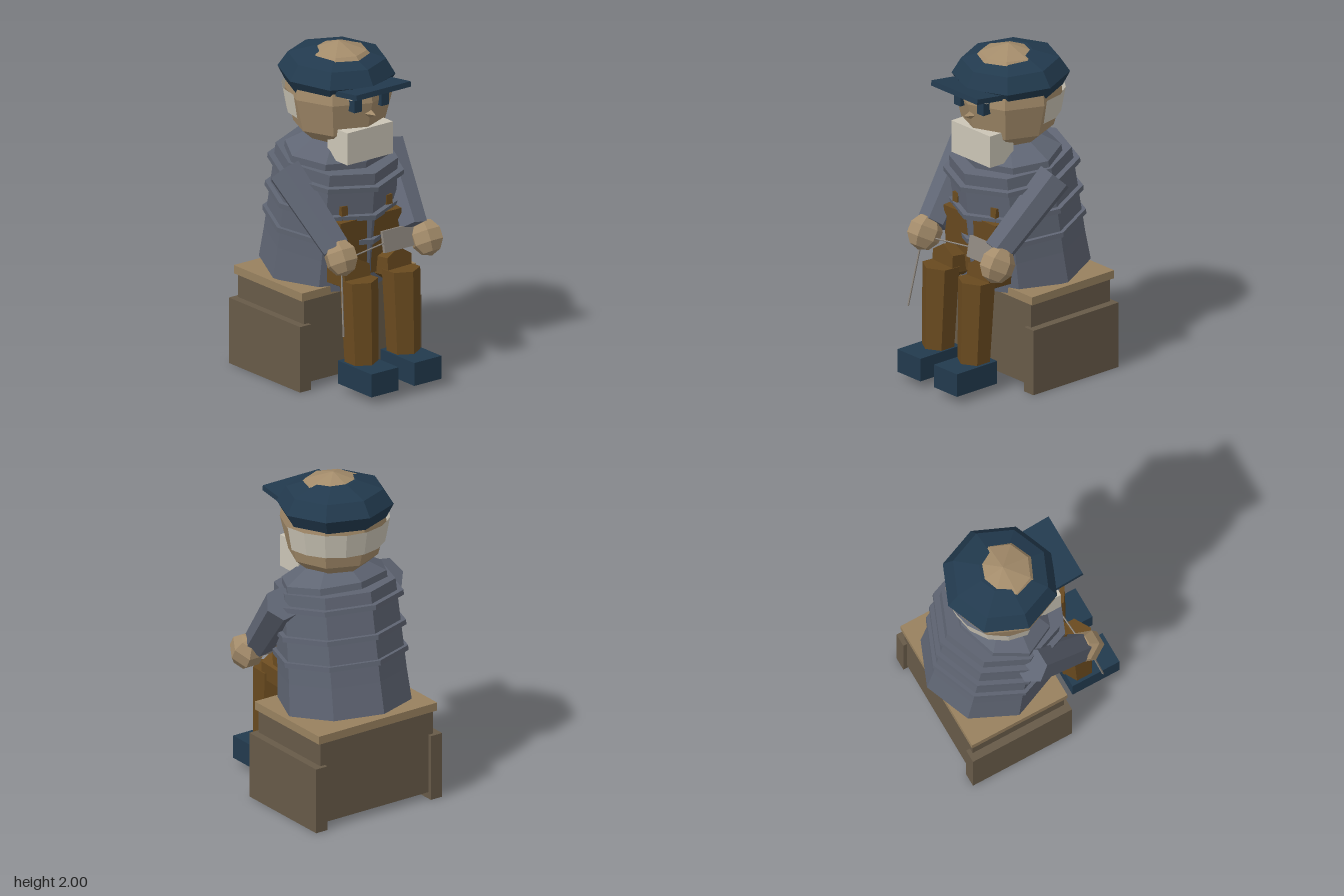
import * as THREE from 'three';

const mat = (name, color) => {
  const m = new THREE.MeshStandardMaterial({ color });
  m.name = name;
  return m;
};

export function createModel() {
  const root = new THREE.Group();
  root.name = 'seatedFisherman';
  const coat = mat('coatGrey', 0x5f6573);
  const navy = mat('navy', 0x223a4e);
  const skin = mat('skin', 0xa48c6b);
  const cream = mat('cream', 0xcbc5b6);
  const brown = mat('trouserBrown', 0x694a1f);
  const crate = mat('crateWood', 0x675a48);
  const plank = mat('lidWood', 0x98815f);
  const metal = mat('dullGrey', 0x8c857d);
  cream.side = THREE.DoubleSide;

  // Faceted mesh: every face keeps its own normal
  function add(name, geo, material, pos = [0, 0, 0], parent = root) {
    const g = geo.index ? geo.toNonIndexed() : geo;
    g.computeVertexNormals();
    const m = new THREE.Mesh(g, material);
    m.name = name;
    m.position.set(...pos);
    parent.add(m);
    return m;
  }
  const box = (name, size, pos, material, tilt = 0) => {
    const m = add(name, new THREE.BoxGeometry(...size), material, pos);
    m.rotation.x = tilt;
    return m;
  };
  // Tapered prism running from point a to point b
  function limb(name, a, b, ra, rb, sides, material) {
    const p = new THREE.Vector3(...a), q = new THREE.Vector3(...b);
    const d = q.clone().sub(p);
    const m = add(name, new THREE.CylinderGeometry(rb, ra, d.length(), sides), material,
      p.clone().add(q).multiplyScalar(0.5).toArray());
    m.quaternion.setFromUnitVectors(new THREE.Vector3(0, 1, 0), d.normalize());
    return m;
  }
  const lathe = pts => new THREE.LatheGeometry(pts.map(p => new THREE.Vector2(...p)), 8);

  // Crate seat
  box('crateBody', [0.8, 0.505, 0.605], [0, 0.2925, -0.1825], crate);
  box('crateLid', [0.84, 0.05, 0.63], [0, 0.57, -0.185], plank);
  for (const s of [-1, 1]) {
    box('crateSideBoard', [0.08, 0.4, 0.655], [s * 0.408, 0.2, -0.1825], crate);
  }

  // Leaning coat with raised rings
  const torso = new THREE.Group();
  torso.name = 'torso';
  torso.position.set(0, 0.6, -0.173);
  torso.rotation.x = 0.135;
  root.add(torso);
  add('coatBody', lathe([[0, 0], [0.392, 0], [0.378, 0.19], [0.356, 0.73], [0, 0.73]]), coat, [0, 0, 0], torso);
  for (const [y, r] of [[0.31, 0.397], [0.465, 0.397], [0.645, 0.397]]) {
    add('coatRing', new THREE.CylinderGeometry(r, r, 0.03, 8), coat, [0, y, 0], torso);
  }
  const yoke = add('shoulderYoke', lathe([[0, 0.65], [0.34, 0.66], [0.335, 0.77], [0.19, 0.85], [0, 0.85]]), coat, [0, 0, 0], torso);
  yoke.scale.z = 0.8;

  // Bib and straps
  box('bib', [0.45, 0.36, 0.08], [0, 0.83, 0.187], brown, 0.07);
  for (const s of [-1, 1]) box('bibStrap', [0.045, 0.26, 0.03], [s * 0.165, 0.96, 0.195], brown, -0.06);

  // Legs, boots and sleeves
  for (const s of [-1, 1]) {
    limb('thigh', [s * 0.14, 0.665, 0], [s * 0.155, 0.695, 0.31], 0.1, 0.105, 6, brown);
    limb('shin', [s * 0.155, 0.17, 0.345], [s * 0.155, 0.68, 0.322], 0.098, 0.112, 6, brown);
    box('boot', [0.2, 0.14, 0.31], [s * 0.158, 0.115, 0.41], navy);
    limb('sleeve', [s * 0.375, 1.275, -0.085], [s * 0.285, 0.88, 0.275], 0.108, 0.092, 6, coat);
  }

  // Hands
  for (const [name, x, y] of [['rightHand', -0.29, 0.84], ['leftHand', 0.34, 0.825]]) {
    const hand = add(name, new THREE.SphereGeometry(0.1, 6, 5), skin, [x, y, 0.325]);
    hand.scale.set(0.95, 1.1, 1.12);
    hand.rotation.x = -0.5;
  }

  // Items held in the hands
  limb('hangingRod', [-0.3, 0.8, 0.34], [-0.34, 0.39, 0.41], 0.006, 0.006, 5, metal);
  limb('line', [-0.27, 0.815, 0.32], [0.07, 0.845, 0.29], 0.005, 0.005, 5, metal);
  box('heldPlate', [0.23, 0.128, 0.02], [0.165, 0.847, 0.285], metal, -0.2);

  // Head, face and fringe of hair
  add('head', lathe([[0, 1.4], [0.17, 1.42], [0.262, 1.5], [0.312, 1.7], [0.3, 1.8], [0.165, 1.945], [0, 2]]), skin, [0, 0, -0.06]);
  add('hair', new THREE.CylinderGeometry(0.328, 0.3, 0.15, 8, 1, true, Math.PI / 2, Math.PI), cream, [0, 1.66, -0.065]);
  const nose = add('nose', new THREE.ConeGeometry(0.045, 0.09, 4), skin, [0, 1.632, 0.24]);
  nose.rotation.x = Math.PI / 2;
  box('beard', [0.336, 0.195, 0.18], [0, 1.447, 0.14], cream);
  for (const s of [-1, 1]) {
    box('eye', [0.054, 0.075, 0.06], [s * 0.1, 1.7, 0.215], navy);
    box('eyebrow', [0.095, 0.022, 0.06], [s * 0.103, 1.755, 0.215], cream);
  }

  // Cap and visor
  const cap = add('cap', lathe([[0, -0.07], [0.295, -0.07], [0.342, 0.015], [0.285, 0.105], [0.13, 0.155], [0, 0.155]]), navy, [0, 1.8, -0.08]);
  cap.rotation.x = 0.05;
  box('visor', [0.4, 0.032, 0.3], [0, 1.782, 0.208], navy, -0.13);

  return root;
}
